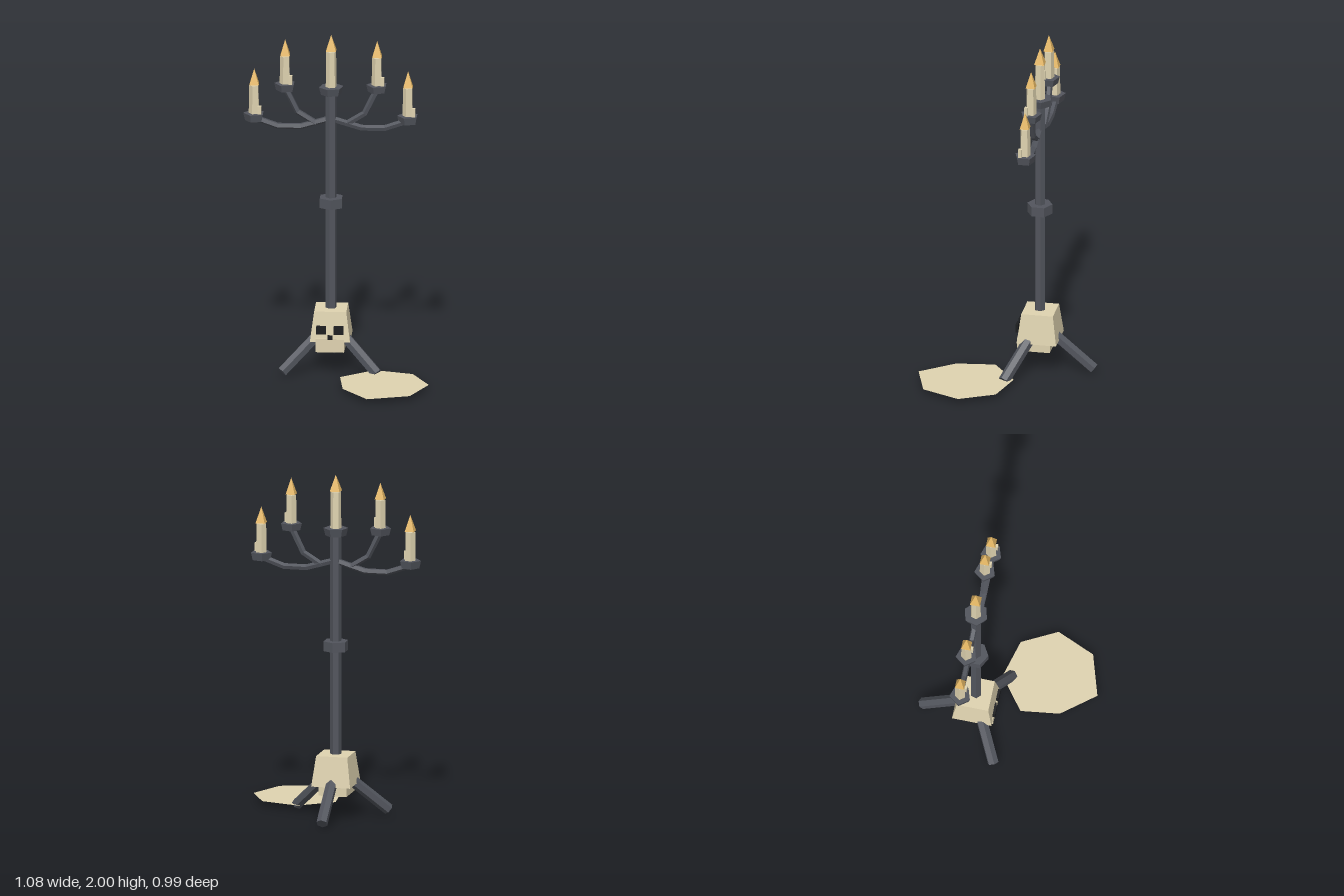
import * as THREE from 'three';

const material = (name, color) => {
  const m = new THREE.MeshStandardMaterial({ color, side: THREE.DoubleSide });
  m.name = name;
  return m;
};

// Give every face its own normal for the low-poly look
const faceted = (geometry) => {
  const g = geometry.index ? geometry.toNonIndexed() : geometry;
  g.computeVertexNormals();
  return g;
};

const addMesh = (parent, name, geometry, mat, x = 0, y = 0, z = 0) => {
  const m = new THREE.Mesh(faceted(geometry), mat);
  m.name = name;
  m.position.set(x, y, z);
  parent.add(m);
  return m;
};

// Upright prism between two heights
const prism = (rTop, rBottom, y0, y1, sides, turn = 0) =>
  new THREE.CylinderGeometry(rTop, rBottom, y1 - y0, sides, 1, false, turn).translate(0, (y0 + y1) / 2, 0);

// Mitred bar that follows a polyline in the xy plane
function bentBar(points, radius, sides) {
  const n = points.length - 1;
  const g = new THREE.CylinderGeometry(radius, radius, n, sides, n, false, -Math.PI / 2);
  const p = g.attributes.position;
  const pts = points.map(([x, y]) => new THREE.Vector2(x, y));
  for (let v = 0; v < p.count; v++) {
    const i = Math.round(p.getY(v) + n / 2);
    const before = pts[Math.max(i - 1, 0)], after = pts[Math.min(i + 1, n)];
    const t = after.clone().sub(before).normalize();
    const s = p.getX(v);
    p.setXYZ(v, pts[i].x + t.y * s, pts[i].y - t.x * s, p.getZ(v));
  }
  return g;
}

export function createModel() {
  const iron = material('iron', 0x52555d);
  const bone = material('bone and wax', 0xdfd3b0);
  const flameGold = material('flame', 0xe6b865);
  const black = material('black', 0x1c1d1f);

  const model = new THREE.Group();
  model.name = 'candelabra';
  const stand = new THREE.Group();
  stand.name = 'stand';
  stand.position.set(-0.041, 0, -0.163);
  model.add(stand);

  // Pole, slightly turned, with a collar halfway up
  const twist = -Math.PI / 12;
  addMesh(stand, 'pole', prism(0.032, 0.032, 0.3, 1.66, 6, twist), iron);
  addMesh(stand, 'collar', prism(0.073, 0.073, 0.973, 1.03, 6), iron);

  // Candle with cup and flame
  const addCandle = (name, x, y, cup, cupHeight, height, sides, turn, flame) => {
    const c = new THREE.Group();
    c.name = name;
    c.position.set(x, y, 0);
    stand.add(c);
    addMesh(c, 'cup', prism(cup, cup * 0.84, 0, cupHeight, sides, turn), iron);
    addMesh(c, 'candle', prism(0.029, 0.032, cupHeight - 0.01, cupHeight + height, sides, turn), bone);
    addMesh(c, 'flame', new THREE.ConeGeometry(flame, 0.095, 4, 1, false, Math.PI / 4), flameGold,
      0, cupHeight + height + 0.0525, 0);
    return c;
  };
  addCandle('centreCandle', 0, 1.645, 0.071, 0.044, 0.211, 6, twist, 0.041);

  // Two arms with candles on each side
  for (const s of [-1, 1]) {
    const side = s > 0 ? 'left' : 'right';
    const outer = [[0, 1.5], [0.175, 1.448], [0.305, 1.448], [0.44, 1.495]];
    const inner = [[0.085, 1.468], [0.192, 1.535], [0.263, 1.68]];
    const mirror = (pts) => pts.map(([x, y]) => [s * x, y]);
    const z = s > 0 ? 0.003 : -0.006;
    addMesh(stand, side + 'OuterArm', bentBar(mirror(outer), 0.018, 5), iron, 0, 0, z);
    addMesh(stand, side + 'InnerArm', bentBar(mirror(inner), 0.018, 5), iron, 0, 0, z);
    const candles = [
      addCandle(side + 'OuterCandle', s * 0.44, 1.48, 0.063, 0.044, 0.166, 5, -Math.PI / 2, 0.038),
      addCandle(side + 'InnerCandle', s * 0.263, 1.664, 0.063, 0.041, 0.163, 5, -Math.PI / 2, 0.038),
    ];
    // Wax running down beside each candle
    for (const c of candles) {
      addMesh(c, 'drip', new THREE.BoxGeometry(0.02, 0.075, 0.02), bone, 0.032, 0.056, 0.022);
    }
  }

  // Skull base: tapered cranium and jaw
  const cranium = new THREE.BoxGeometry(0.23, 0.175, 0.23);
  const p = cranium.attributes.position;
  for (let i = 0; i < p.count; i++) {
    if (p.getY(i) > 0) p.setXYZ(i, p.getX(i) * 0.8, p.getY(i), p.getZ(i) * 0.8);
  }
  addMesh(stand, 'cranium', cranium, bone, 0, 0.2825, -0.001);
  addMesh(stand, 'jaw', new THREE.BoxGeometry(0.163, 0.08, 0.19), bone, 0, 0.175, 0.022);

  // Upright eye and nose plates
  for (const s of [-1, 1]) {
    addMesh(stand, 'eyeSocket', new THREE.BoxGeometry(0.055, 0.048, 0.014), black, s * 0.05, 0.269, 0.121);
  }
  addMesh(stand, 'nose', new THREE.BoxGeometry(0.03, 0.025, 0.014), black, 0, 0.223, 0.111);

  // Three sloping legs, 120 degrees apart
  for (let i = 0; i < 3; i++) {
    const leg = addMesh(stand, 'leg', bentBar([[0.06, 0.239], [0.313, 0.026]], 0.033, 6), iron);
    leg.rotation.y = Math.PI / 2 + (i * Math.PI * 2) / 3;
  }

  // Flat wax puddle
  const outline = [[0.213, -0.06], [0.436, 0], [0.54, 0.2], [0.445, 0.42], [0.204, 0.495], [0.054, 0.306], [0.025, 0.083]];
  const puddle = new THREE.ShapeGeometry(new THREE.Shape(outline.map(([x, z]) => new THREE.Vector2(x, -z))));
  addMesh(model, 'puddle', puddle.rotateX(-Math.PI / 2), bone, 0, 0.03, 0);

  return model;
}
